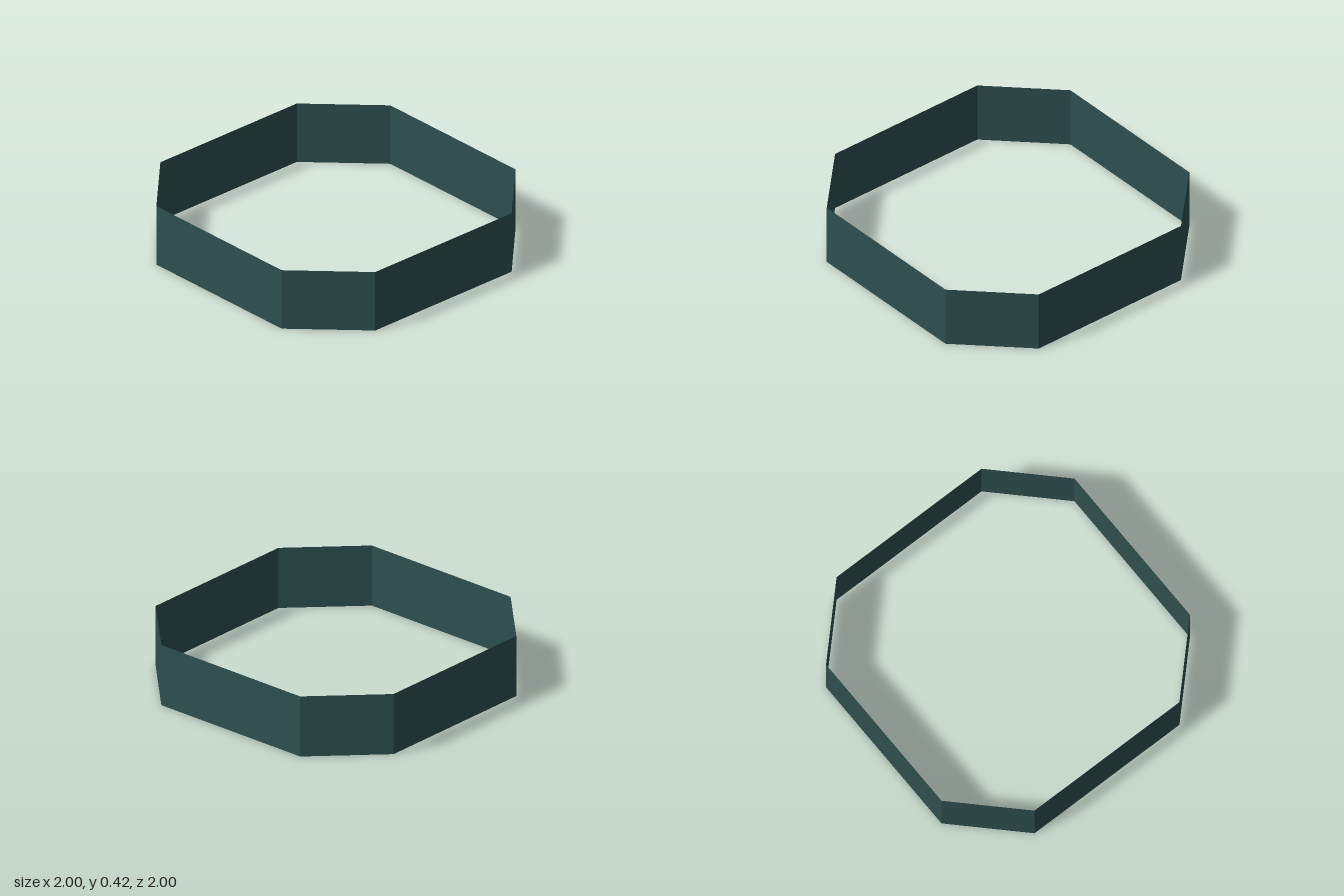
import * as THREE from 'three';

const HEIGHT = 5 / 12;
const CUT = 5 / 12; // size of the corner chamfers

export function createModel() {
  const group = new THREE.Group();
  group.name = 'octagonalBand';

  const darkTeal = new THREE.MeshStandardMaterial({ color: 0x2f4f4f, side: THREE.DoubleSide, flatShading: true });
  darkTeal.name = 'darkTeal';

  // One upright, paper-thin panel facing outward at the given angle
  const addPanel = (name, width, distance, angle) => {
    const geometry = new THREE.PlaneGeometry(width, HEIGHT);
    geometry.translate(0, HEIGHT / 2, distance);
    geometry.rotateY(angle);
    const panel = new THREE.Mesh(geometry, darkTeal);
    panel.name = name;
    group.add(panel);
  };

  // Four long sides alternate with four short chamfered corners
  const sides = ['front', 'left', 'back', 'right'];
  const corners = ['frontLeft', 'backLeft', 'backRight', 'frontRight'];
  for (let i = 0; i < 4; i++) {
    const angle = (i * Math.PI) / 2;
    addPanel(sides[i] + 'Panel', 2 - 2 * CUT, 1, angle);
    addPanel(corners[i] + 'Corner', CUT * Math.SQRT2, (2 - CUT) / Math.SQRT2, angle + Math.PI / 4);
  }
  return group;
}
